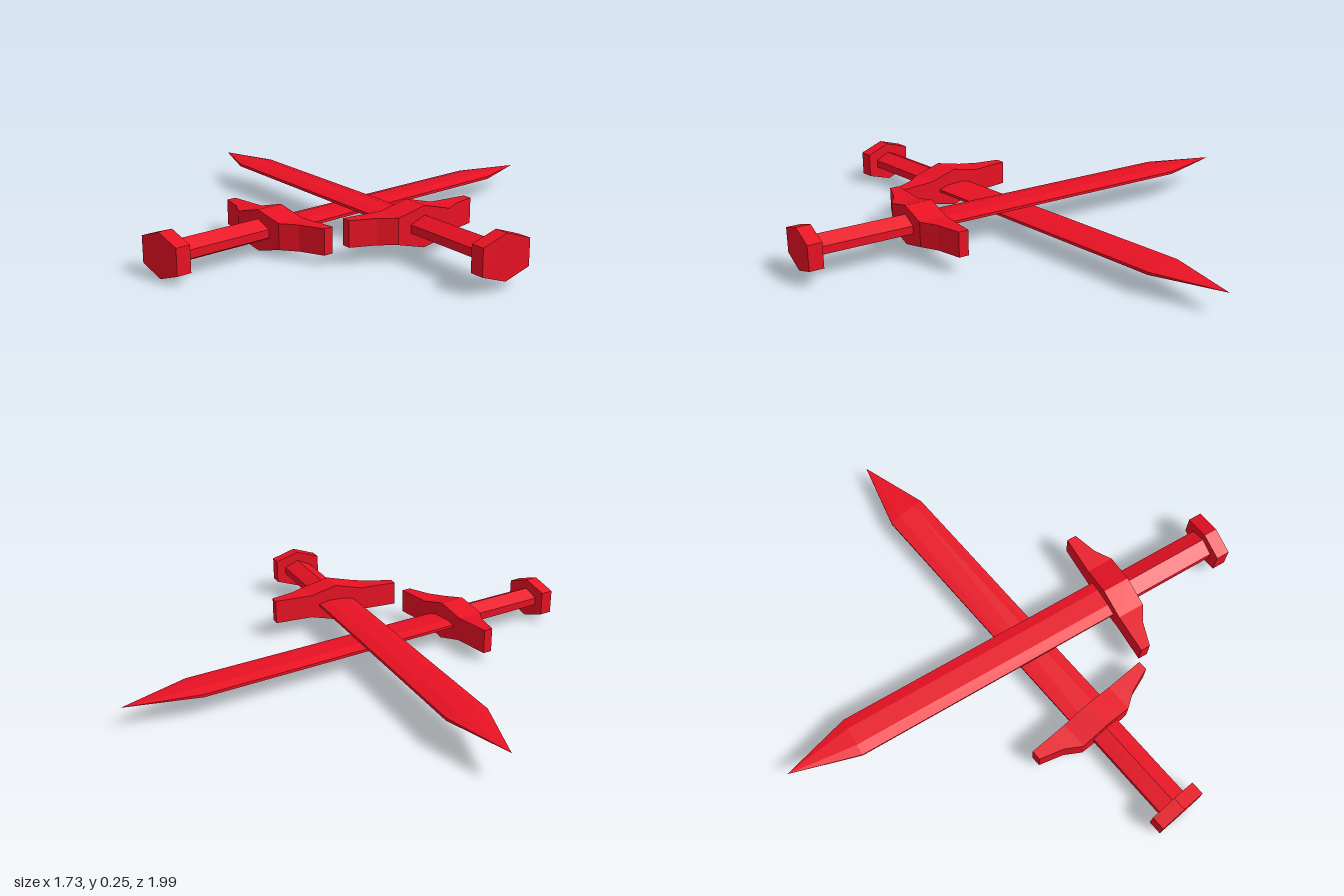
import * as THREE from 'three';

const red = new THREE.MeshStandardMaterial({ color: 0xe81123, flatShading: true });

// Skins a row of matching cross-sections (each a counter-clockwise loop) and caps both ends.
function loft(name, sections) {
  const pos = [];
  const tri = (a, b, c) => pos.push(...a, ...b, ...c);
  const n = sections[0].length;
  for (let s = 0; s < sections.length - 1; s++) {
    const a = sections[s], b = sections[s + 1];
    for (let i = 0; i < n; i++) {
      const j = (i + 1) % n;
      tri(a[i], a[j], b[j]);
      tri(a[i], b[j], b[i]);
    }
  }
  const first = sections[0], last = sections[sections.length - 1];
  for (let i = 1; i < n - 1; i++) {
    tri(first[0], first[i + 1], first[i]);
    tri(last[0], last[i], last[i + 1]);
  }
  const geo = new THREE.BufferGeometry();
  geo.setAttribute('position', new THREE.Float32BufferAttribute(pos, 3));
  geo.computeVertexNormals();
  const mesh = new THREE.Mesh(geo, red);
  mesh.name = name;
  return mesh;
}

// Hexagon with a ridge above and below and short upright sides.
const ridged = (w, side, ridge, z) =>
  [[w, -side, z], [w, side, z], [0, ridge, z], [-w, side, z], [-w, -side, z], [0, -ridge, z]];

// Blade section: flat middle with a bevel down to each thin edge.
const bladeSection = (k, z) => {
  const w = 0.102 * k, f = 0.048 * k, t = 0.02 * k, e = 0.007 * k;
  return [[w, -e, z], [w, e, z], [f, t, z], [-f, t, z],
    [-w, e, z], [-w, -e, z], [-f, -t, z], [f, -t, z]];
};

// One sword lying flat, pommel end at z = 0 and tip along +z.
function makeSword(name) {
  const sword = new THREE.Group();
  sword.name = name;

  sword.add(loft('pommel', [0, 0.071].map(z => ridged(0.13, 0.063, 0.106, z))));
  sword.add(loft('grip', [0.06, 0.6].map(z => ridged(0.078, 0.02, 0.055, z))));

  // Crossguard: [distance from centre, back edge, half height], mirrored about the middle.
  const half = [[0.354, 0.635, 0.063], [0.23, 0.595, 0.063], [0.148, 0.543, 0.063]];
  const rows = [
    ...half.map(([x, z, h]) => [-x, z, h]),
    [0, 0.543, 0.1],
    ...half.slice().reverse(),
  ];
  const front = 0.685;
  sword.add(loft('crossguard', rows.map(([x, z, h]) =>
    [[x, -h, z], [x, h, z], [x, h, front], [x, -h, front]])));

  sword.add(loft('blade', [bladeSection(1, 0.62), bladeSection(1, 2.133), bladeSection(0, 2.49)]));
  return sword;
}

export function createModel() {
  const model = new THREE.Group();
  model.name = 'crossedSwords';
  // The two swords cross at 40 degrees each, one stacked over the other.
  for (const [name, side, y] of [['upperSword', 1, 0.148], ['lowerSword', -1, 0.107]]) {
    const sword = makeSword(name);
    sword.position.set(side * 0.735, y, 0.908);
    sword.rotation.y = Math.PI + side * THREE.MathUtils.degToRad(40);
    model.add(sword);
  }
  return model;
}
